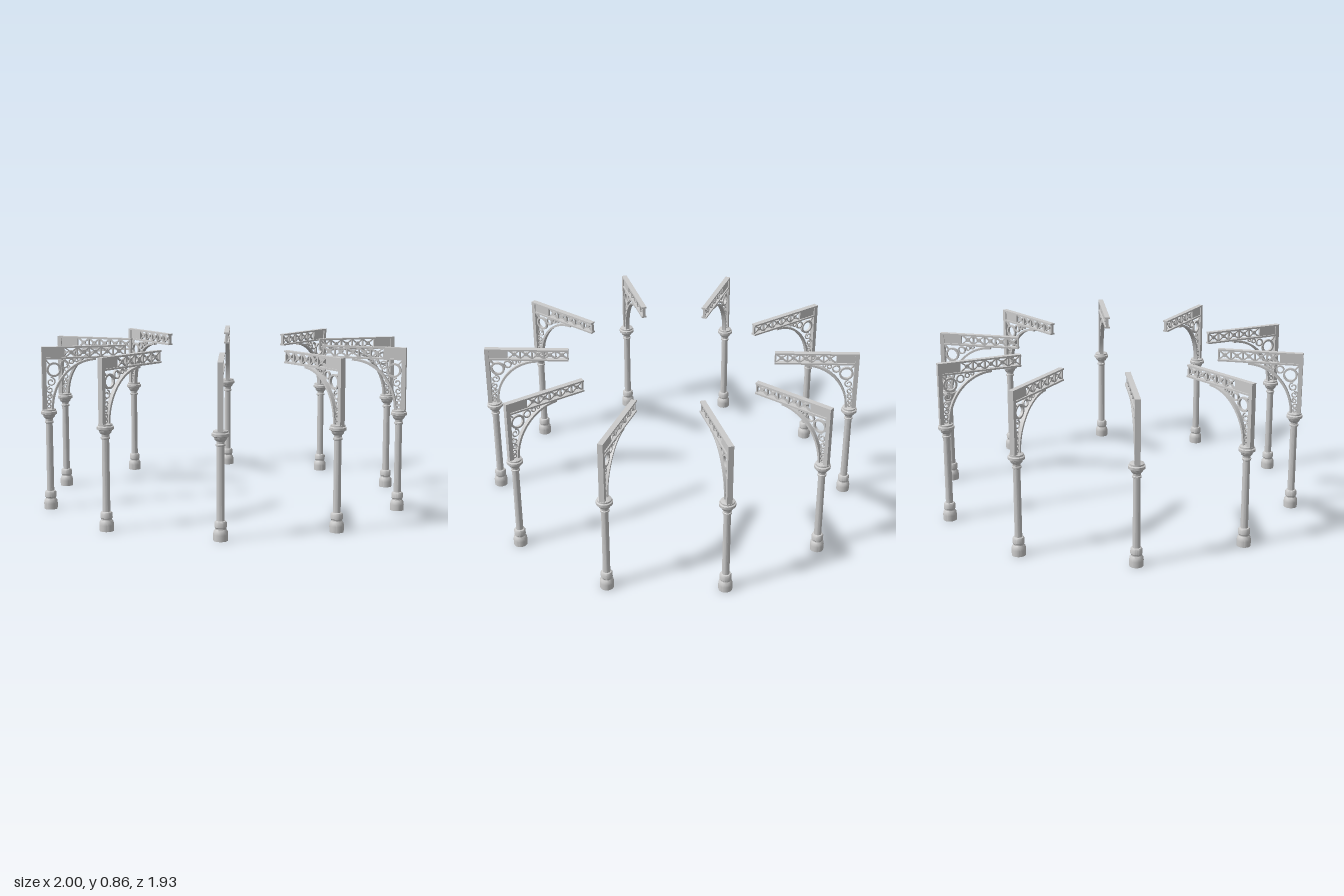
import * as THREE from 'three';
import { toCreasedNormals } from 'three/addons/utils/BufferGeometryUtils.js';

const COUNT = 10;          // columns in the ring
const START = 2.7;         // degrees from +x of the first column
const R = 0.957;           // radius of the column axes
const OUTER = 0.99, INNER = 0.545, WEB_END = 0.87;
const CAP_Y = 0.53, BEAM_Y = 0.79, TOP_Y = 0.855;

const grey = new THREE.MeshStandardMaterial({ color: 0xcccccc });

function mesh(name, geometry) {
  const m = new THREE.Mesh(geometry, grey);
  m.name = name;
  return m;
}

// Box given by its extents along the radius (x) and height (y), centred on z
function box(name, x0, x1, y0, y1, depth) {
  const g = new THREE.BoxGeometry(x1 - x0, y1 - y0, depth);
  g.translate((x0 + x1) / 2, (y0 + y1) / 2, 0);
  return mesh(name, g);
}

// Flat bar between two points in the xy plane
function bar(name, x0, y0, x1, y1, width, depth) {
  const g = new THREE.BoxGeometry(Math.hypot(x1 - x0, y1 - y0), width, depth);
  g.rotateZ(Math.atan2(y1 - y0, x1 - x0));
  g.translate((x0 + x1) / 2, (y0 + y1) / 2, 0);
  return mesh(name, g);
}

// Flat ring in the xy plane
function ring(name, x, y, outer, inner, depth) {
  const s = new THREE.Shape().absarc(x, y, outer, 0, Math.PI * 2);
  s.holes.push(new THREE.Path().absarc(x, y, inner, 0, Math.PI * 2, true));
  const g = new THREE.ExtrudeGeometry(s, { depth, bevelEnabled: false, curveSegments: 14 });
  g.translate(0, 0, -depth / 2);
  return mesh(name, g);
}

// Scroll: a spiral that closes in on (x, y)
function scroll(name, x, y, radius, from, turn) {
  const pts = [];
  for (let i = 0; i <= 12; i++) {
    const t = i / 12, a = from + turn * t, r = radius * (1 - 0.7 * t);
    pts.push(new THREE.Vector3(x + r * Math.cos(a), y + r * Math.sin(a), 0));
  }
  return mesh(name, new THREE.TubeGeometry(new THREE.CatmullRomCurve3(pts), 24, 0.004, 6));
}

function buildColumn() {
  const profile = [
    [0, 0], [0.035, 0], [0.036, 0.03], [0.034, 0.046], [0.027, 0.056],
    [0.027, 0.062], [0.03, 0.066], [0.03, 0.088], [0.026, 0.095], [0.019, 0.097],
    [0.018, 0.455], [0.023, 0.458], [0.023, 0.466], [0.019, 0.469], [0.02, 0.48],
    [0.028, 0.487], [0.033, 0.5], [0.042, 0.505], [0.042, 0.518], [0.036, 0.522],
    [0.036, CAP_Y], [0, CAP_Y],
  ].map(([x, y]) => new THREE.Vector2(x, y));
  const g = toCreasedNormals(new THREE.LatheGeometry(profile, 20), 0.6);
  g.translate(R, 0, 0);
  return mesh('column', g);
}

function buildBeam() {
  const beam = new THREE.Group();
  beam.name = 'beam';
  beam.add(box('topFlange', INNER, OUTER, TOP_Y - 0.009, TOP_Y, 0.028));
  beam.add(box('bottomFlange', INNER, OUTER, BEAM_Y, BEAM_Y + 0.009, 0.028));
  beam.add(box('solidWeb', WEB_END, OUTER, BEAM_Y, TOP_Y - 0.002, 0.014));
  // Crossed lattice panels
  const panels = 5, w = (WEB_END - INNER - 0.008) / panels;
  const y0 = BEAM_Y + 0.008, y1 = TOP_Y - 0.008;
  for (let i = 0; i < panels; i++) {
    const x = INNER + 0.004 + i * w;
    beam.add(box('latticePost', x - 0.004, x + 0.004, y0, y1, 0.014));
    beam.add(bar('latticeBrace', x, y0, x + w, y1, 0.007, 0.01));
    beam.add(bar('latticeBrace', x, y1, x + w, y0, 0.007, 0.01));
    beam.add(ring('latticeBoss', x + w / 2, (y0 + y1) / 2, 0.011, 0.005, 0.013));
  }
  return beam;
}

function buildBracket() {
  const bracket = new THREE.Group();
  bracket.name = 'bracket';
  bracket.add(box('post', 0.968, OUTER, CAP_Y, TOP_Y - 0.001, 0.028));

  // Curved rib from the capital to the underside of the beam
  const cx = 0.705, a = 0.238, b = BEAM_Y - CAP_Y, t = 0.011;
  const rib = new THREE.Shape();
  rib.absellipse(cx, CAP_Y, a, b, 0, Math.PI / 2, false);
  rib.absellipse(cx, CAP_Y, a - t, b - t, Math.PI / 2, 0, true);
  const ribGeo = new THREE.ExtrudeGeometry(rib, { depth: 0.022, bevelEnabled: false, curveSegments: 18 });
  ribGeo.translate(0, 0, -0.011);
  bracket.add(mesh('curvedRib', toCreasedNormals(ribGeo, 0.6)));

  // Large spandrel ring with smaller ones running along the beam
  bracket.add(ring('spandrelRing', 0.927, 0.735, 0.038, 0.028, 0.014));
  bracket.add(ring('smallRing', 0.872, 0.762, 0.022, 0.015, 0.012));
  bracket.add(ring('smallRing', 0.835, 0.775, 0.014, 0.008, 0.012));
  bracket.add(ring('smallRing', 0.808, 0.781, 0.01, 0.005, 0.012));
  bracket.add(bar('cornerBar', 0.95, 0.765, 0.972, 0.79, 0.007, 0.012));

  // Scrolls shrinking down the post
  bracket.add(scroll('scroll', 0.944, 0.672, 0.024, Math.PI / 2, 8));
  bracket.add(scroll('scroll', 0.95, 0.63, 0.019, Math.PI / 2, -8));
  bracket.add(scroll('scroll', 0.953, 0.597, 0.015, Math.PI / 2, 8));
  bracket.add(ring('smallRing', 0.956, 0.568, 0.013, 0.007, 0.012));
  bracket.add(ring('smallRing', 0.956, 0.544, 0.012, 0.006, 0.012));
  return bracket;
}

export function createModel() {
  const model = new THREE.Group();
  model.name = 'columnRing';
  const support = new THREE.Group();
  support.name = 'support';
  support.add(buildColumn(), buildBeam(), buildBracket());
  for (let i = 0; i < COUNT; i++) {
    const s = support.clone();
    s.rotation.y = -THREE.MathUtils.degToRad(START + (i * 360) / COUNT);
    model.add(s);
  }
  return model;
}
